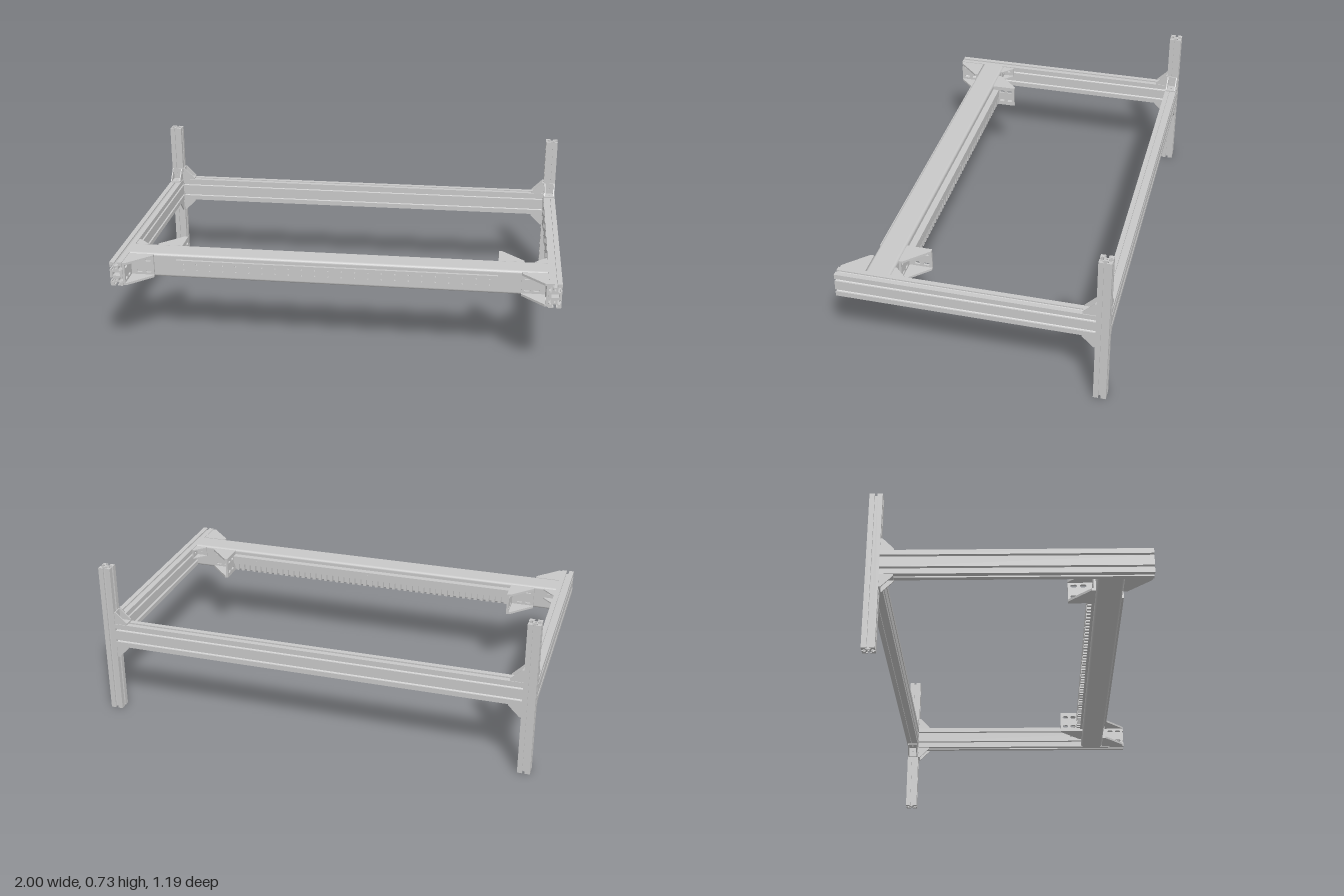
import * as THREE from 'three';

const CELL = 0.0565, MID = 0.3925, RAIL = 2 * CELL;
const metal = new THREE.MeshStandardMaterial({ color: 0xc8c8c8 });
metal.name = 'light grey aluminium';

const V = (x, y, z) => new THREE.Vector3(x, y, z);

function add(parent, name, geometry, x = 0, y = 0, z = 0) {
  const mesh = new THREE.Mesh(geometry, metal);
  mesh.name = name;
  mesh.position.set(x, y, z);
  parent.add(mesh);
  return mesh;
}

function circle(x, y, r) {
  return new THREE.Path().absarc(x, y, r, 0, Math.PI * 2, true);
}

function rectPath(x0, y0, x1, y1) {
  return new THREE.Path([[x0, y0], [x0, y1], [x1, y1], [x1, y0]].map(p => new THREE.Vector2(...p)));
}

const extrude = (shape, depth) =>
  new THREE.ExtrudeGeometry(shape, { depth, bevelEnabled: false, curveSegments: 6 }).translate(0, 0, -depth / 2);

// T-slot section, one cell wide and a number of cells tall
function slotShape(rows) {
  const c = CELL, w = c / 2, h = rows * c / 2;
  // half of a slot as [offset along the face, depth]
  const half = [[0.1, 0], [0.1, 0.11], [0.22, 0.11], [0.22, 0.2], [0.12, 0.32]];
  const slot = [...half.map(([a, d]) => [-a, d]), ...half.slice().reverse()];
  const pts = [];
  const side = (start, dir, cells) => {
    const inward = new THREE.Vector2(-dir.y, dir.x);
    pts.push(start);
    for (let i = 0; i < cells; i++)
      for (const [a, d] of slot)
        pts.push(start.clone().addScaledVector(dir, (i + 0.5 + a) * c).addScaledVector(inward, d * c));
  };
  const P = (x, y) => new THREE.Vector2(x, y);
  side(P(-w, -h), P(1, 0), 1);
  side(P(w, -h), P(0, 1), rows);
  side(P(w, h), P(-1, 0), 1);
  side(P(-w, h), P(0, -1), rows);
  const shape = new THREE.Shape(pts);
  for (let i = 0; i < rows; i++) shape.holes.push(circle(0, (i + 0.5) * c - h, 0.09 * c));
  if (rows === 2) shape.holes.push(rectPath(-0.3 * c, -0.15 * c, 0.3 * c, 0.15 * c));
  return shape;
}

// Corner bracket: two drilled flanges joined by two triangular webs.
// a and b are the directions of its legs.
function bracket(parent, name, corner, a, b, size, width, drill) {
  const g = new THREE.Group();
  g.name = name;
  const t = size * 0.09, tip = size * 0.14;
  const flange = new THREE.Shape();
  flange.moveTo(0, -width / 2).lineTo(size, -width / 2).lineTo(size, width / 2).lineTo(0, width / 2);
  const r = size * 0.055;
  for (const u of drill === 4 ? [0.42, 0.78] : [0.55])
    for (const v of drill === 4 ? [-0.25, 0.25] : [0]) {
      const x = u * size, y = v * width, k = r * 1.2;
      const hole = new THREE.Path();
      hole.absarc(x + k, y, r, -Math.PI / 2, Math.PI / 2, false);
      hole.absarc(x - k, y, r, Math.PI / 2, Math.PI * 1.5, false);
      flange.holes.push(hole);
    }
  const plate = extrude(flange, t);
  add(g, 'flange', plate.clone().rotateX(-Math.PI / 2), 0, t / 2, 0);
  add(g, 'flange', plate.clone().rotateX(-Math.PI / 2).rotateZ(Math.PI / 2), t / 2, 0, 0);
  const web = new THREE.Shape();
  web.moveTo(0, 0).lineTo(size, 0).lineTo(size, tip).lineTo(tip, size).lineTo(0, size);
  for (const s of [-1, 1]) add(g, 'web', extrude(web, t), 0, 0, s * (width - t) / 2);
  g.quaternion.setFromRotationMatrix(new THREE.Matrix4().makeBasis(a, b, a.clone().cross(b)));
  g.position.copy(corner);
  parent.add(g);
}

export function createModel() {
  const model = new THREE.Group();
  model.name = 'extrusionFrame';
  const edge = 1 - CELL, backZ = -0.5665, postFront = backZ + CELL / 2;
  const single = slotShape(1), double = slotShape(2);

  // Rear cross rail between the posts
  add(model, 'rearRail', extrude(double, 2 * edge).rotateY(Math.PI / 2), 0, MID, backZ);

  for (const s of [-1, 1]) {
    const x = s * (1 - CELL / 2), inward = V(-s, 0, 0);
    add(model, 'post', extrude(single, 0.725).rotateX(Math.PI / 2), x, 0.3625, backZ);
    add(model, 'sideRail', extrude(double, 0.595 - postFront), x, MID, (0.595 + postFront) / 2);

    // Small brackets above and below the rails at each post
    for (const u of [-1, 1]) {
      const y = MID + u * RAIL / 2, up = V(0, u, 0);
      bracket(model, 'sidePostBracket', V(x, y, postFront), V(0, 0, 1), up, 0.058, 0.05, 1);
      bracket(model, 'rearPostBracket', V(s * edge, y, backZ), inward, up, 0.058, 0.05, 1);
    }

    // Brackets holding the front beam, and the pair behind it
    bracket(model, 'beamBracket', V(s * edge, MID, 0.475), inward, V(0, 0, 1), 0.115, 0.108, 4);
    bracket(model, 'beamInnerBracket', V(s * edge, 0.42, 0.36), inward, V(0, 0, -1), 0.058, 0.05, 1);
    bracket(model, 'rackBracket', V(s * 0.725, MID, 0.36), V(s, 0, 0), V(0, 0, -1), 0.115, 0.105, 4);
  }

  // Front beam: square tube with rounded corners
  const h = RAIL / 2, r = 0.012, beam = new THREE.Shape();
  beam.absarc(h - r, h - r, r, 0, Math.PI / 2);
  beam.absarc(r - h, h - r, r, Math.PI / 2, Math.PI);
  beam.absarc(r - h, r - h, r, Math.PI, Math.PI * 1.5);
  beam.absarc(h - r, r - h, r, Math.PI * 1.5, Math.PI * 2);
  beam.holes.push(rectPath(0.008 - h, 0.008 - h, h - 0.008, h - 0.008));
  add(model, 'frontBeam', extrude(beam, 2 * edge).rotateY(Math.PI / 2), 0, MID, 0.4175);

  // Drilled plate on the face of the beam
  const cover = new THREE.Shape();
  cover.moveTo(-0.725, -0.03).lineTo(0.725, -0.03).lineTo(0.725, 0.03).lineTo(-0.725, 0.03);
  for (let i = 0; i < 24; i++)
    for (const y of [-0.014, 0.014]) cover.holes.push(circle(-0.69 + i * 0.06, y, 0.004));
  add(model, 'frontPlate', extrude(cover, 0.012), 0, 0.395, 0.48);

  // Toothed rack behind the beam
  add(model, 'rackBar', new THREE.BoxGeometry(1.45, 0.04, 0.03), 0, 0.405, 0.345);
  add(model, 'rackBacking', new THREE.BoxGeometry(1.45, 0.034, 0.012), 0, 0.368, 0.354);
  const tooth = new THREE.BoxGeometry(0.015, 0.034, 0.03);
  for (let i = 0; i < 48; i++) add(model, 'rackTooth', tooth, -0.705 + i * 0.03, 0.368, 0.345);
  const bolt = new THREE.CylinderGeometry(0.006, 0.006, 0.004, 12).rotateX(Math.PI / 2);
  for (let i = -2; i <= 2; i++) add(model, 'rackBolt', bolt, i * 0.3, 0.407, 0.331);

  return model;
}
